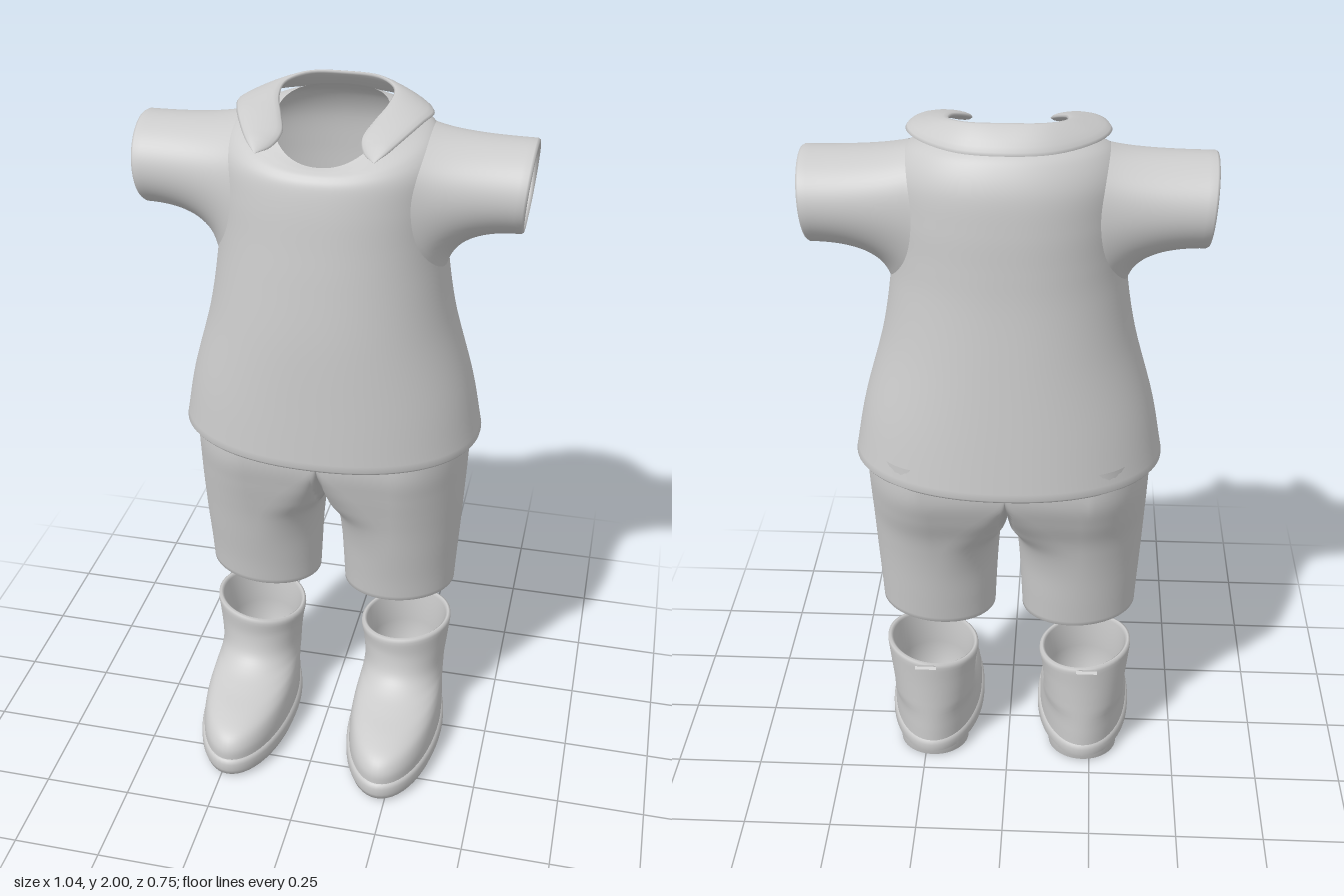
import * as THREE from 'three';

const TAU = Math.PI * 2;
const V = (x, y, z) => new THREE.Vector3(x, y, z);
const material = new THREE.MeshStandardMaterial({ color: 0xcccccc, side: THREE.DoubleSide });
const spow = (v, e) => Math.sign(v) * Math.abs(v) ** e;

// Smooth interpolation through the rows of a small table, by row index
function spline(rows) {
  const f = new THREE.CubicInterpolant(rows.map((_, i) => i), rows.flat(), rows[0].length);
  return (t) => [...f.evaluate(t)];
}

// Samples a function at n + 1 even steps from a to b
const sample = (n, a, b, fn) => Array.from({ length: n + 1 }, (_, i) => fn(a + ((b - a) * i) / n));

// Closed ring of n points
const ring = (n, fn) => Array.from({ length: n }, (_, i) => fn((i / n) * TAU));

// Skins a stack of closed rings; skip(row, column) leaves a hole
function loft(rings, skip = () => false) {
  const n = rings[0].length, index = [];
  for (let r = 0; r < rings.length - 1; r++) {
    for (let c = 0; c < n; c++) {
      if (skip(r, c)) continue;
      const a = r * n + c, b = r * n + ((c + 1) % n);
      index.push(a, a + n, b, b, a + n, b + n);
    }
  }
  const g = new THREE.BufferGeometry().setFromPoints(rings.flat());
  g.setIndex(index);
  g.computeVertexNormals();
  return g;
}

function add(parent, name, geometry) {
  const mesh = new THREE.Mesh(geometry, material);
  mesh.name = name;
  parent.add(mesh);
  return mesh;
}

// Adds a part on the left and its mirror image on the right
function addPair(parent, name, build) {
  for (const side of [1, -1]) {
    const g = build();
    g.name = (side > 0 ? 'left' : 'right') + name;
    g.scale.x = side;
    parent.add(g);
  }
}

// ---- Shirt: y, half width, front z, back z, drop of the neckline at the front
const shirtRow = spline([
  [1.045, 0.42, 0.235, -0.37, 0],
  [1.2, 0.39, 0.23, -0.355, 0],
  [1.4, 0.335, 0.222, -0.335, 0],
  [1.56, 0.308, 0.208, -0.32, 0],
  [1.66, 0.3, 0.197, -0.315, 0],
  [1.76, 0.3, 0.186, -0.311, 0.005],
  [1.855, 0.295, 0.173, -0.3, 0.035],
  [1.92, 0.262, 0.158, -0.27, 0.075],
  [1.95, 0.205, 0.142, -0.235, 0.095],
  [1.97, 0.145, 0.125, -0.2, 0.11],
]);

function shirtPoint(a, t, inset = 0, lift = 0) {
  const [y, w, zF, zB, drop] = shirtRow(t);
  return V(
    (w - inset) * spow(Math.cos(a), 0.91),
    y + lift - drop * ((1 + Math.sin(a)) / 2) ** 2,
    (zF + zB) / 2 + ((zF - zB) / 2 - inset) * spow(Math.sin(a), 0.91),
  );
}

const ARM = { t: 5.1, dt: 2.1, da: 0.72 };

function buildShirt() {
  const shirt = new THREE.Group();
  shirt.name = 'shirt';
  const cols = 96, rows = 72, hem = 3;
  const rings = [
    ring(cols, (a) => shirtPoint(a, 0, 0.022, 0.04)),
    ring(cols, (a) => shirtPoint(a, 0, 0.018, -0.002)),
    ring(cols, (a) => shirtPoint(a, 0, 0.006, -0.008)),
    ...sample(rows, 0, 9, (t) => ring(cols, (a) => shirtPoint(a, t))),
  ];
  // arm holes, hidden under the flared sleeve roots
  const inArmHole = (r, c) => {
    const t = ((r - hem + 0.5) / rows) * 9;
    const a = Math.asin(Math.sin(((c + 0.5) / cols) * TAU));
    return ((t - ARM.t) / ARM.dt) ** 2 + (a / ARM.da) ** 2 < 0.75;
  };
  add(shirt, 'shirtBody', loft(rings, inArmHole));

  addPair(shirt, 'Sleeve', () => {
    const tip = (p, k, dx) =>
      V(0.512 + 0.009 * Math.sin(p) + dx, 1.777 + 0.119 * k * Math.sin(p), -0.082 + 0.141 * k * Math.cos(p));
    const flare = (s) => ring(64, (p) => {
      const root = shirtPoint(ARM.da * Math.cos(p), ARM.t + ARM.dt * Math.sin(p), -0.001);
      const bend = tip(p, 1, 0).setX(0.335);
      return new THREE.QuadraticBezierCurve3(root, bend, tip(p, 1, -0.006)).getPoint(s);
    });
    const lip = [[0.97, 0], [0.91, 0.001], [0.86, -0.008], [0.84, -0.1]]
      .map(([k, dx]) => ring(64, (p) => tip(p, k, dx)));
    const g = new THREE.Group();
    add(g, 'sleeve', loft([...sample(18, 0, 1, flare), ...lip]));
    return g;
  });

  // Collar: neck edge and outer edge, from the back centre to the front tip
  const edge = (pts) => new THREE.CatmullRomCurve3([
    ...pts.slice(1).reverse().map(([x, y, z]) => V(-x, y, z)),
    ...pts.map((p) => V(...p)),
  ]);
  const inner = edge([[0, 2, -0.195], [0.09, 1.998, -0.185], [0.14, 1.988, -0.13], [0.14, 1.973, -0.05],
    [0.117, 1.95, 0.02], [0.1, 1.926, 0.08], [0.115, 1.906, 0.125], [0.147, 1.9, 0.165]]);
  const outer = edge([[0, 1.943, -0.262], [0.12, 1.943, -0.24], [0.22, 1.947, -0.16], [0.255, 1.95, -0.08],
    [0.24, 1.95, 0], [0.21, 1.935, 0.075], [0.18, 1.917, 0.13], [0.15, 1.9, 0.166]]);
  add(shirt, 'collar', loft(sample(72, 0, 1, (s) => {
    const p = inner.getPoint(s), q = outer.getPoint(s);
    const thick = Math.min(0.015, p.distanceTo(q) * 0.2);
    return ring(16, (a) => {
      const v = p.clone().lerp(q, (1 - Math.cos(a)) / 2);
      v.y += Math.sin(a) * thick * (Math.sin(a) > 0 ? 1 : 0.5);
      return v;
    });
  })));
  return shirt;
}

// ---- Shorts, one half: y, outer x, inner x, front z, back z, squareness of the inner side
const legRow = spline([
  [0.52, 0.368, 0.04, 0.075, -0.203, 1],
  [0.6, 0.372, 0.036, 0.088, -0.215, 1],
  [0.7, 0.378, 0.03, 0.108, -0.23, 1],
  [0.78, 0.382, 0.021, 0.124, -0.246, 0.85],
  [0.845, 0.385, 0, 0.139, -0.264, 0.55],
  [0.92, 0.388, 0, 0.157, -0.295, 0.24],
  [1.0, 0.39, 0, 0.173, -0.32, 0.03],
  [1.1, 0.387, 0, 0.172, -0.322, 0.03],
]);

function legRing(t, inset = 0, lift = 0) {
  const [y, xO, xI, zF, zB, e] = legRow(t);
  const xc = 0.205, zc = (zF + zB) / 2, rz = (zF - zB) / 2 - inset;
  const tilt = 0.075 * Math.max(0, 1 - t / 3);
  return ring(64, (a) => {
    const c = Math.cos(a), s = Math.sin(a);
    const x = c > 0 ? xc + (xO - xc - inset) * c : xc - (xc - Math.max(0, xI) - inset) * (-c) ** e;
    return V(x, y + lift + tilt * (x - xc), zc + rz * (c > 0 ? s : spow(s, e)));
  });
}

function buildShortsHalf() {
  const g = new THREE.Group();
  const geo = loft([legRing(0, 0.022, 0.08), legRing(0, 0.018, 0.002), legRing(0, 0.007, -0.004),
    ...sample(42, 0, 7, (t) => legRing(t))]);
  // keep shading continuous across the middle seam
  const p = geo.attributes.position, n = geo.attributes.normal;
  for (let i = 0; i < p.count; i++) {
    if (p.getX(i) > 0.016) continue;
    const v = V(0, n.getY(i), n.getZ(i)).normalize();
    n.setXYZ(i, v.x, v.y, v.z);
  }
  add(g, 'shortsLeg', geo);
  return g;
}

// ---- Boots: oval section from y, half width, front z, back z, z of the widest point
const oval = ([y, w, zF, zB, zc], tilt = 0) => ring(56, (a) => {
  const s = Math.sin(a), x = w * Math.cos(a);
  return V(x, y + tilt * x, zc + s * (s > 0 ? zF - zc : zc - zB));
});

const bootRow = spline([
  [0.055, 0.134, 0.366, -0.203, 0.06],
  [0.1, 0.134, 0.364, -0.204, 0.05],
  [0.135, 0.131, 0.335, -0.204, 0.03],
  [0.158, 0.127, 0.27, -0.204, 0],
  [0.175, 0.124, 0.19, -0.204, -0.03],
  [0.195, 0.122, 0.125, -0.204, -0.055],
  [0.23, 0.122, 0.08, -0.204, -0.068],
  [0.29, 0.128, 0.062, -0.205, -0.07],
  [0.35, 0.136, 0.064, -0.208, -0.07],
]);

function buildBoot() {
  const g = new THREE.Group(), boot = new THREE.Group();
  boot.position.x = 0.228;
  g.add(boot);

  // upper with rolled rim and inner lining
  add(boot, 'bootUpper', loft([
    ...sample(40, 0, 8, (t) => oval(bootRow(t), t > 7 ? 0.13 * (t - 7) : 0)),
    oval([0.361, 0.135, 0.062, -0.207, -0.07], 0.13),
    oval([0.365, 0.128, 0.055, -0.2, -0.07], 0.13),
    oval([0.358, 0.12, 0.048, -0.192, -0.07], 0.13),
    oval([0.25, 0.108, 0.05, -0.188, -0.07]),
    oval([0.1, 0.108, 0.06, -0.188, -0.07]),
    oval([0.095, 0.001, -0.069, -0.071, -0.07]),
  ]));

  // sole, arched up slightly towards the heel
  const sole = [
    [0.008, 0.001, 0.061, 0.059, 0.06],
    [0.008, 0.126, 0.358, -0.195, 0.06],
    [0.012, 0.136, 0.37, -0.205, 0.06],
    [0.03, 0.142, 0.376, -0.21, 0.06],
    [0.052, 0.142, 0.376, -0.21, 0.06],
    [0.064, 0.138, 0.371, -0.207, 0.06],
    [0.068, 0.13, 0.36, -0.2, 0.06],
  ].map((row) => oval(row));
  sole.slice(0, 3).flat().forEach((v) => { v.y += 0.014 * (1 - THREE.MathUtils.smoothstep(v.z, -0.06, 0.12)); });
  add(boot, 'sole', loft(sole));

  add(boot, 'heel', loft([
    [0, 0.001, -0.109, -0.111, -0.11],
    [0, 0.098, -0.04, -0.19, -0.1],
    [0.005, 0.103, -0.034, -0.196, -0.1],
    [0.035, 0.105, -0.032, -0.2, -0.1],
  ].map((row) => oval(row))));

  // pull tab, wider at the free end
  const tab = new THREE.BoxGeometry(0.05, 0.075, 0.009);
  const p = tab.attributes.position;
  for (let i = 0; i < p.count; i++) p.setX(i, p.getX(i) * (p.getY(i) > 0 ? 1.2 : 0.75));
  const mesh = add(boot, 'pullTab', tab);
  mesh.position.set(0.005, 0.372, -0.231);
  mesh.rotation.x = -0.93;
  return g;
}

export function createModel() {
  const model = new THREE.Group();
  model.name = 'outfit';
  model.add(buildShirt());
  const shorts = new THREE.Group();
  shorts.name = 'shorts';
  addPair(shorts, 'Half', buildShortsHalf);
  model.add(shorts);
  addPair(model, 'Boot', buildBoot);
  return model;
}
